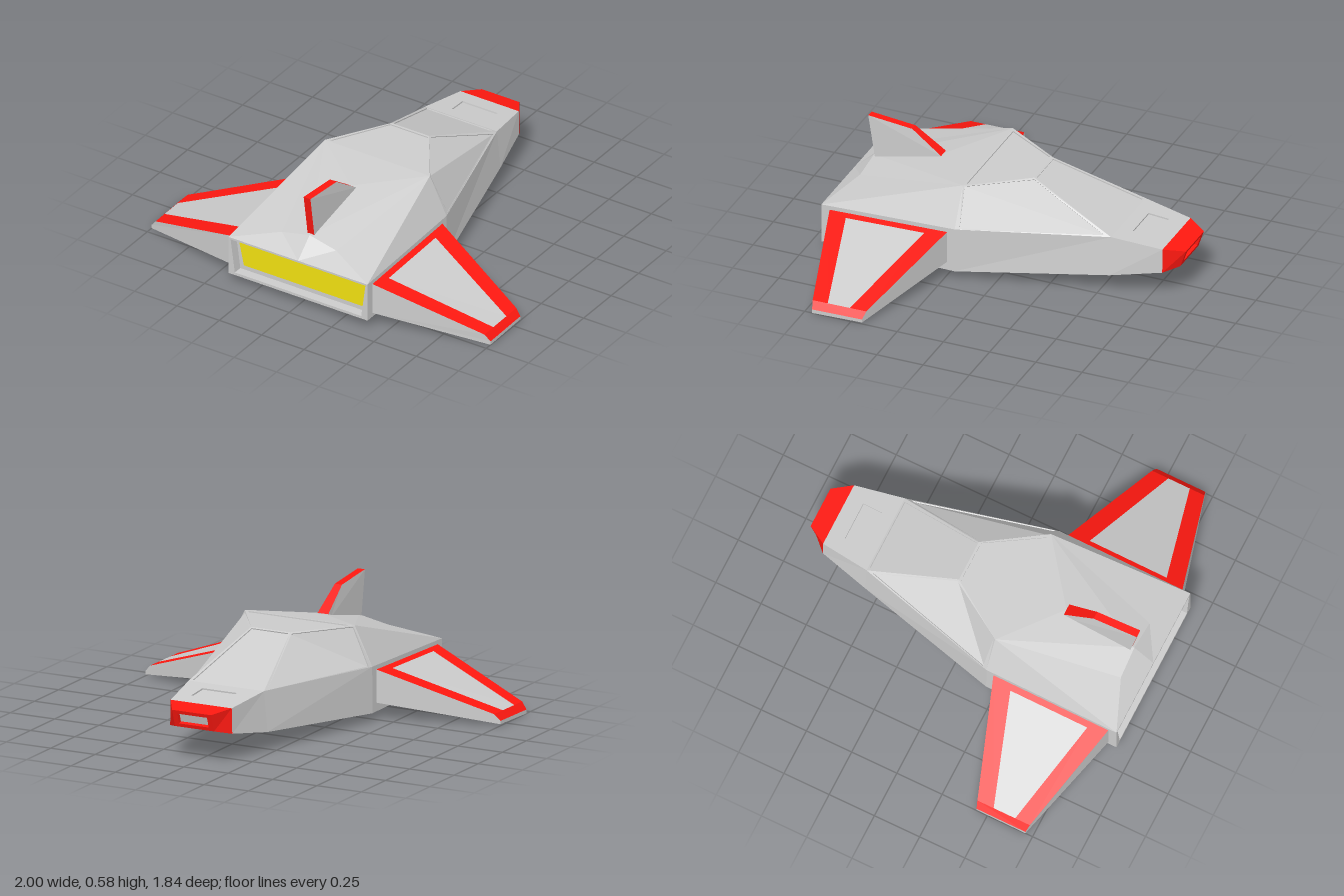
import * as THREE from 'three';

const GREY = 0xcccccc, RED = 0xff1810, YELLOW = 0xf0e010;
const vec = (p) => new THREE.Vector3(...p);
const mirror = (pts) => pts.map(([x, y, z]) => [-x, y, z]);

// average plane normal of a polygon
function normalOf(pts) {
  const n = new THREE.Vector3();
  for (let i = 1; i < pts.length - 1; i++) {
    const a = vec(pts[0]);
    n.add(vec(pts[i]).sub(a).cross(vec(pts[i + 1]).sub(a)));
  }
  return n.normalize();
}

// true when the polygon faces away from an inner reference point
const facesOut = (pts, ref) => {
  const c = pts.reduce((s, p) => s.add(vec(p)), new THREE.Vector3()).divideScalar(pts.length);
  return normalOf(pts).dot(c.sub(vec(ref))) >= 0;
};
const orient = (pts, ref) => (facesOut(pts, ref) ? pts : [...pts].reverse());

// flat-shaded mesh from a list of convex polygons
function faceMesh(name, polys, color = GREY) {
  const pos = [];
  for (const p of polys)
    for (let i = 1; i < p.length - 1; i++) pos.push(...p[0], ...p[i], ...p[i + 1]);
  const g = new THREE.BufferGeometry();
  g.setAttribute('position', new THREE.Float32BufferAttribute(pos, 3));
  g.computeVertexNormals();
  const m = new THREE.Mesh(g, new THREE.MeshStandardMaterial({ color, flatShading: true, side: THREE.DoubleSide }));
  m.name = name;
  return m;
}

// point inside a quad at u, v
function at(q, [u, v]) {
  const a = vec(q[0]).lerp(vec(q[1]), u), b = vec(q[3]).lerp(vec(q[2]), u);
  return a.lerp(b, v).toArray();
}
const margin = (u, v) => [[u, v], [1 - u, v], [1 - u, 1 - v], [u, 1 - v]];

// frame around a quad plus a floor sunk by depth
function panel(quad, uvs, depth, ref) {
  let q = quad, inner = uvs.map((uv) => at(quad, uv));
  if (!facesOut(q, ref)) { q = [...q].reverse(); inner = inner.reverse(); }
  const n = normalOf(q).multiplyScalar(-depth);
  const floor = inner.map((p) => vec(p).add(n).toArray());
  const frame = [];
  for (let i = 0; i < 4; i++) {
    const j = (i + 1) % 4;
    frame.push([q[i], q[j], inner[j], inner[i]]);
    if (depth) frame.push([inner[i], inner[j], floor[j], floor[i]]);
  }
  return { frame, floor };
}

function addPanel(group, name, quad, uvs, depth, ref, frameColor, floorColor) {
  const p = panel(quad, uvs, depth, ref);
  group.add(faceMesh(name + 'Frame', p.frame, frameColor), faceMesh(name + 'Panel', [p.floor], floorColor));
}

function hull() {
  const g = new THREE.Group();
  g.name = 'hull';
  const ref = [0, 0.2, 0.2];
  // sections: z, top y, bottom y, top half width, bottom half width
  const s = [
    [0.92, 0.26, 0.05, 0.41, 0.41],
    [0.2, 0.283, 0.045, 0.408, 0.41],
    [-0.56, 0.312, 0.105, 0.212, 0.232],
    [-0.82, 0.28, 0.15, 0.172, 0.175],
    [-0.92, 0.26, 0.17, 0.11, 0.11],
  ];
  const top = ([z, y, , x]) => [x, y, z];
  const low = ([z, , y, , x]) => [x, y, z === -0.92 ? -0.89 : z];
  const skin = [], nose = [];
  for (let i = 0; i < 4; i++) {
    const [a, b] = [s[i], s[i + 1]], out = i === 3 ? nose : skin;
    const side = [low(a), low(b), top(b), top(a)];
    out.push(orient(side, ref), orient(mirror(side), ref));
    const [l, m] = [low(a), low(b)];
    out.push(orient([l, m, ...mirror([m, l])], ref));
    if (i === 3) out.push(orient([top(a), top(b), ...mirror([top(b), top(a)])], ref));
  }
  g.add(faceMesh('hullSkin', skin), faceMesh('noseCap', nose, RED));

  // sunken hatch on the nose deck
  const [d0, d1] = [top(s[2]), top(s[3])];
  addPanel(g, 'noseHatch', [d0, d1, ...mirror([d1, d0])],
    [[0.26, 0.26], [0.67, 0.22], [0.67, 0.78], [0.26, 0.74]], 0.008, ref);

  // recessed nose opening
  const [t, l] = [top(s[4]), low(s[4])];
  addPanel(g, 'noseIntake', [t, l, ...mirror([l, t])], margin(0.2, 0.12), 0.02, ref, RED, GREY);

  // recessed engine outlet with a glowing plate
  const r0 = top(s[0]), r1 = low(s[0]);
  const rim = panel([r0, r1, ...mirror([r1, r0])],
    [[0.05, 0.015], [0.93, 0.045], [0.93, 0.955], [0.05, 0.985]], 0.05, ref);
  g.add(faceMesh('engineRim', rim.frame));
  const z = 0.87;
  g.add(faceMesh('enginePlate', [orient(rim.floor, ref)]));
  g.add(faceMesh('engineGlow', [orient([[0.38, 0.23, z + 0.003], [0.35, 0.09, z + 0.003],
    [-0.35, 0.09, z + 0.003], [-0.38, 0.23, z + 0.003]], ref)], YELLOW));
  return g;
}

function cabin() {
  const g = new THREE.Group();
  g.name = 'cabin';
  const ref = [0, 0.2, 0.2];
  const noseCorner = [0.212, 0.312, -0.56], roofFront = [0.11, 0.492, -0.1];
  const roofBack = [0.31, 0.483, 0.2], sill = [0.408, 0.283, 0.2];
  // framed windows
  addPanel(g, 'windshield', [noseCorner, roofFront, ...mirror([roofFront, noseCorner])], margin(0.02, 0.04), 0.006, ref);
  addPanel(g, 'roof', [roofFront, roofBack, ...mirror([roofBack, roofFront])], margin(0.04, 0.03), 0.006, ref);
  for (const f of [(p) => p, mirror])
    addPanel(g, 'sideWindow', f([noseCorner, roofFront, roofBack, sill]), margin(0.03, 0.03), 0.006, ref);

  // sloping rear deck
  const ridgeFront = [0, 0.447, 0.44], ridgeBack = [0, 0.355, 0.815];
  const deckBack = [0.16, 0.322, 0.82], tail = [0.41, 0.26, 0.92];
  const half = [
    [roofBack, ridgeFront, ridgeBack], [roofBack, ridgeBack, deckBack],
    [roofBack, deckBack, tail], [roofBack, tail, sill],
    [deckBack, ridgeBack, [0, 0.26, 0.92]], [deckBack, [0, 0.26, 0.92], tail],
  ];
  const deck = [[roofBack, ridgeFront, ...mirror([roofBack])], ...half, ...half.map(mirror)];
  g.add(faceMesh('rearDeck', deck.map((p) => orient(p, [0, -1, 0.3]))));
  return g;
}

function wing(f, name) {
  const g = new THREE.Group();
  g.name = name;
  const ref = f([[0.65, 0.11, 0.57]])[0];
  const a = [0.41, 0.26, 0.24], b = [0.97, 0.058, 0.43], c = [0.97, 0.055, 0.72], d = [0.41, 0.24, 0.875];
  const tb = [1, 0.025, 0.44], tc = [1, 0.02, 0.71];
  const la = [0.41, 0.09, 0.24], lb = [1, 0.008, 0.44], lc = [1, 0, 0.71], ld = [0.41, 0.072, 0.875];
  // red border around a grey upper surface
  addPanel(g, 'wingTop', f([a, b, c, d]), [[0.055, 0.16], [1, 0.31], [1, 0.72], [0.055, 0.85]], 0, ref, RED, GREY);
  g.add(faceMesh('wingTip', [orient(f([b, tb, tc, c]), ref)], RED));
  g.add(faceMesh('wingBody', [
    [la, lb, lc, ld], [tb, lb, lc, tc], [a, b, tb, lb, la], [d, c, tc, lc, ld],
  ].map((p) => orient(f(p), ref))));
  return g;
}

function tailFin() {
  const g = new THREE.Group();
  g.name = 'tailFin';
  const ref = [0, 0.47, 0.68];
  const side = [[0.03, 0.447, 0.44], [0.02, 0.56, 0.6], [0.02, 0.583, 0.838], [0.02, 0.34, 0.8], [0.03, 0.42, 0.46]];
  const other = mirror(side);
  const rim = [0, 1, 2].map((i) => orient([side[i], side[i + 1], other[i + 1], other[i]], ref));
  g.add(faceMesh('finSides', [orient(side, ref), orient(other, ref)]), faceMesh('finEdge', rim, RED));
  return g;
}

export function createModel() {
  const model = new THREE.Group();
  model.name = 'shuttle';
  model.add(hull(), cabin(), wing((p) => p, 'leftWing'), wing(mirror, 'rightWing'), tailFin());
  return model;
}
